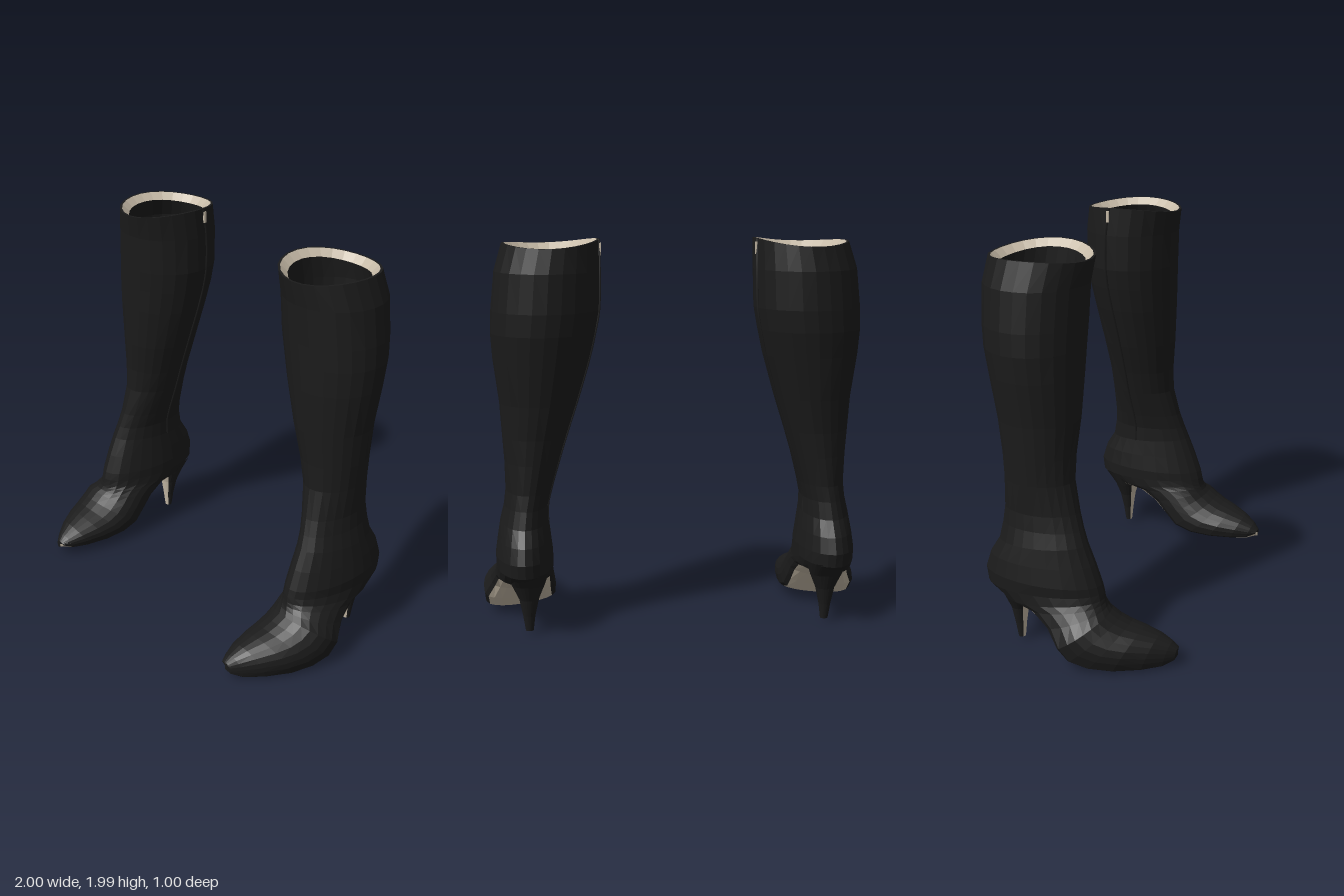
import * as THREE from 'three';

const black = new THREE.MeshStandardMaterial({ color: 0x1b1b1b });
black.name = 'black leather';
const beige = new THREE.MeshStandardMaterial({ color: 0xc6baa7 });
beige.name = 'beige lining';

const SIDES = 24;

// Cross-sections: frontZ, frontY, backZ, backY, innerX, outerX, flatness of the underside
const SHAFT = [
  [0.03, 1.98, -0.48, 1.98, 0.382, 0.86, 0],
  [0.01, 1.85, -0.50, 1.85, 0.38, 0.90, 0],
  [0.00, 1.66, -0.50, 1.66, 0.385, 0.92, 0],
  [-0.005, 1.55, -0.49, 1.55, 0.405, 0.925, 0],
  [-0.01, 1.42, -0.465, 1.42, 0.435, 0.917, 0],
  [-0.02, 1.20, -0.425, 1.20, 0.50, 0.89, 0],
  [-0.035, 1.03, -0.40, 1.03, 0.555, 0.88, 0],
  [-0.035, 0.90, -0.39, 0.90, 0.595, 0.872, 0],
  [0.00, 0.75, -0.385, 0.75, 0.637, 0.87, 0],
  [0.025, 0.67, -0.392, 0.67, 0.655, 0.88, 0],
  [0.05, 0.60, -0.41, 0.58, 0.655, 0.90, 0],
  [0.09, 0.50, -0.46, 0.50, 0.645, 0.915, 0],
  [0.125, 0.40, -0.485, 0.42, 0.635, 0.928, 0],
];
const FOOT = [
  [0.135, 0.36, -0.475, 0.35, 0.635, 0.925, 0.1],
  [0.14, 0.33, -0.38, 0.29, 0.635, 0.93, 0.3],
  [0.145, 0.31, -0.25, 0.265, 0.635, 0.938, 0.5],
  [0.155, 0.29, -0.14, 0.20, 0.63, 0.96, 0.7],
  [0.175, 0.27, -0.06, 0.12, 0.622, 1.0, 0.9],
  [0.22, 0.24, 0.00, 0.06, 0.616, 0.995, 1],
  [0.27, 0.215, 0.10, 0.028, 0.615, 0.975, 1],
  [0.33, 0.195, 0.22, 0.02, 0.622, 0.94, 1],
  [0.41, 0.165, 0.35, 0.025, 0.645, 0.875, 1],
  [0.47, 0.13, 0.44, 0.035, 0.675, 0.81, 1],
  [0.50, 0.10, 0.49, 0.06, 0.70, 0.765, 1],
  [0.50, 0.08, 0.50, 0.08, 0.73, 0.73, 1],
];
const HEEL = [
  [-0.22, 0.34, -0.465, 0.36, 0.66, 0.88, 0],
  [-0.26, 0.27, -0.40, 0.28, 0.685, 0.85, 0],
  [-0.28, 0.20, -0.367, 0.20, 0.715, 0.815, 0],
  [-0.292, 0.11, -0.348, 0.11, 0.735, 0.797, 0],
  [-0.30, 0.03, -0.335, 0.03, 0.745, 0.785, 0],
  [-0.318, 0.03, -0.318, 0.03, 0.765, 0.765, 0],
];

// Point on a section; angle 0 is the outer side, PI/2 the front or top
function sectionPoint([fz, fy, bz, by, xi, xo, k], a, s) {
  const c = Math.cos(a), u = Math.sin(a);
  const mid = 0.5 - 0.12 * k;
  const t = u > 0 ? mid + (1 - mid) * u : mid - mid * Math.pow(-u, 1 - 0.6 * k);
  const x = (xi + xo) / 2 + c * (xo - xi) / 2;
  let y = by + (fy - by) * t - 0.022 * c * k * (1 - t); // sole leans to the outer edge
  if (fy > 1.9) y += 0.012 * Math.cos(2 * a) - 0.008 * c; // wavy top rim
  return new THREE.Vector3(s * x, y, bz + (fz - bz) * t);
}

// Lofts faceted skin between sections; isBeige(row, angle) sorts the faces by colour
function loft(sections, s, name, isBeige, inside = false) {
  const faces = [[], []];
  const flip = (s < 0) !== inside;
  const angle = i => (i % SIDES) / SIDES * Math.PI * 2;
  for (let j = 0; j < sections.length - 1; j++) {
    for (let i = 0; i < SIDES; i++) {
      const a = sectionPoint(sections[j], angle(i), s);
      const b = sectionPoint(sections[j], angle(i + 1), s);
      const d = sectionPoint(sections[j + 1], angle(i), s);
      const e = sectionPoint(sections[j + 1], angle(i + 1), s);
      const list = faces[isBeige(j, (i + 0.5) / SIDES * Math.PI * 2) ? 1 : 0];
      list.push(...(flip ? [a, d, b, b, d, e] : [a, b, d, b, e, d]));
    }
  }
  const group = new THREE.Group();
  group.name = name;
  faces.forEach((points, m) => {
    if (!points.length) return;
    const geometry = new THREE.BufferGeometry().setFromPoints(points);
    geometry.computeVertexNormals();
    const mesh = new THREE.Mesh(geometry, m ? beige : black);
    mesh.name = name + (m ? 'Beige' : 'Black');
    group.add(mesh);
  });
  return group;
}

const inset = ([fz, fy, bz, by, xi, xo, k], d, dy = 0) =>
  [fz - d, fy + dy, bz + d, by + dy, xi + d, xo - d, k];

function createBoot(s, name) {
  const boot = new THREE.Group();
  boot.name = name;

  // Leather upper with the sole on the underside of the foot
  const firstSole = SHAFT.length + 1;
  boot.add(loft([...SHAFT, ...FOOT], s, 'upperAndSole',
    (j, a) => j >= firstSole && Math.sin(a) < -0.6));

  // Tapered heel with a pale front face
  boot.add(loft(HEEL, s, 'heel', (j, a) => j < 4 && Math.sin(a) > 0.75));

  // Rim, pale top band, dark inner wall and insole
  const lining = [
    SHAFT[0], inset(SHAFT[0], 0.012), inset(SHAFT[0], 0.048, -0.035),
    ...SHAFT.slice(1).map(sec => inset(sec, 0.05)),
    [-0.18, 0.38, -0.18, 0.38, 0.77, 0.77, 0],
  ];
  boot.add(loft(lining, s, 'lining', j => j === 1 || j === lining.length - 2, true));

  // Zip seam along the inner side
  const path = SHAFT.slice(0, 11).map(sec => sectionPoint(sec, Math.PI + 0.25, s));
  const seam = new THREE.Mesh(
    new THREE.TubeGeometry(new THREE.CatmullRomCurve3(path), 30, 0.007, 5), black);
  seam.name = 'zipSeam';
  boot.add(seam);

  // Zip pull
  const pull = new THREE.Mesh(new THREE.BoxGeometry(0.009, 0.06, 0.014), beige);
  pull.name = 'zipPull';
  pull.position.copy(path[0]).add(new THREE.Vector3(-0.006 * s, -0.045, -0.006));
  boot.add(pull);
  return boot;
}

export function createModel() {
  const model = new THREE.Group();
  model.name = 'heeledBoots';
  model.add(createBoot(1, 'leftBoot'), createBoot(-1, 'rightBoot'));
  return model;
}
